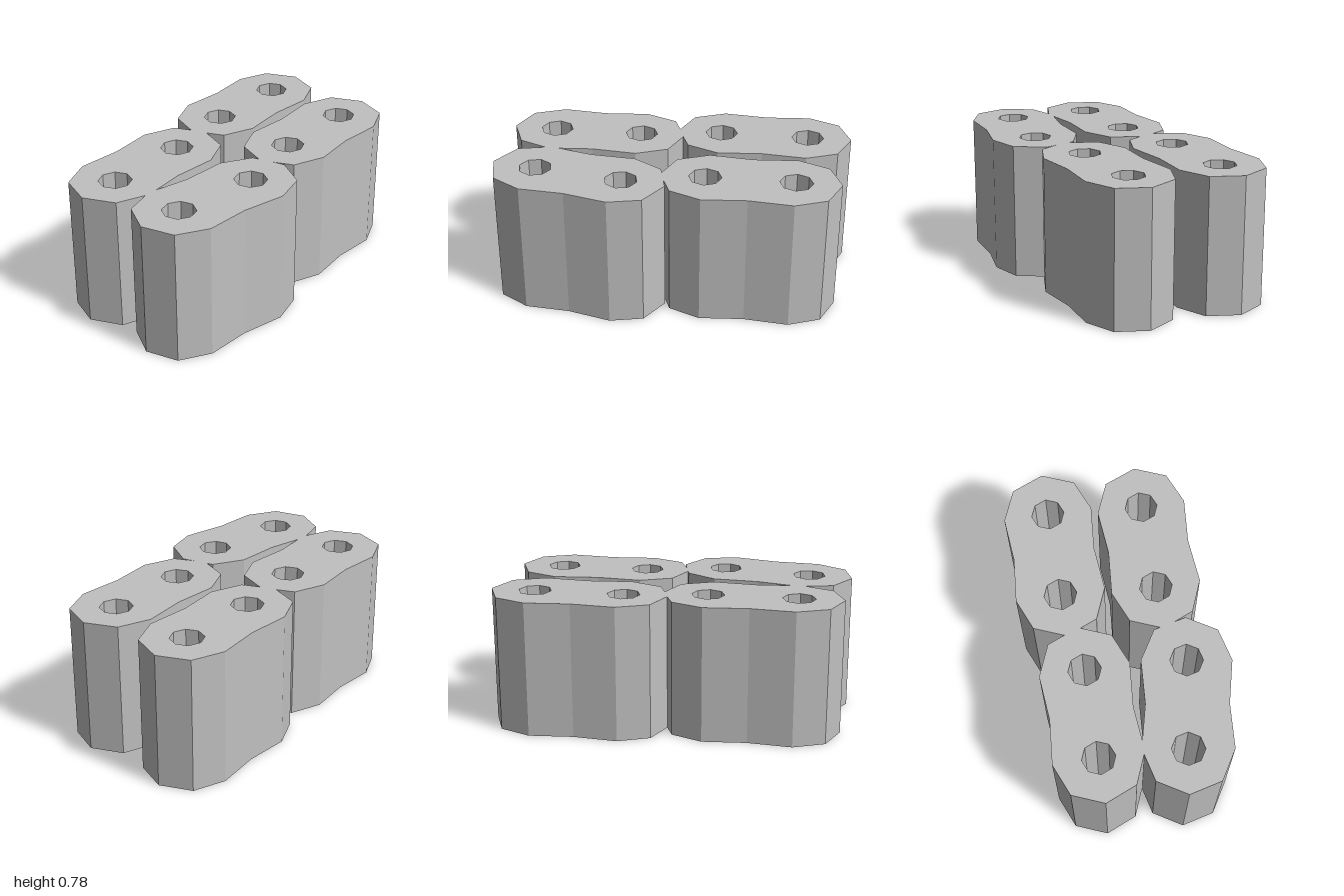
import * as THREE from 'three';

const HEIGHT = 0.78;
const LOBE = 0.2525; // distance from block centre to each hole
const RADIUS = 0.252;
const WAIST = 0.23;
const HOLE = 0.093;

// Points on an octagon whose corners lie on the axes
function arc(cx, radius, first, last) {
  const points = [];
  for (let i = first; i <= last; i++) {
    const a = (i * Math.PI) / 4;
    points.push(new THREE.Vector2(cx + radius * Math.cos(a), radius * Math.sin(a)));
  }
  return points;
}

// Two half-octagon lobes joined by a narrow waist, with two octagonal holes
function blockGeometry() {
  const shape = new THREE.Shape([
    ...arc(LOBE, RADIUS, -2, 2),
    new THREE.Vector2(0, WAIST),
    ...arc(-LOBE, RADIUS, 2, 6),
    new THREE.Vector2(0, -WAIST),
  ]);
  for (const side of [-1, 1]) {
    shape.holes.push(new THREE.Path(arc(side * LOBE, HOLE, 0, 7).reverse()));
  }
  const geometry = new THREE.ExtrudeGeometry(shape, { depth: HEIGHT, bevelEnabled: false });
  return geometry.rotateX(-Math.PI / 2);
}

export function createModel() {
  const model = new THREE.Group();
  model.name = 'pavingBlocks';
  const concrete = new THREE.MeshStandardMaterial({ color: 0xc0c0c0, flatShading: true });
  concrete.name = 'concreteGrey';
  const geometry = blockGeometry();

  // name, x, z, turn about y
  const blocks = [
    ['backRightBlock', -0.475, -0.25, 0],
    ['backLeftBlock', 0.495, -0.317, 0],
    ['frontRightBlock', -0.505, 0.274, -0.157],
    ['frontLeftBlock', 0.455, 0.22, 0],
  ];
  for (const [name, x, z, turn] of blocks) {
    const block = new THREE.Mesh(geometry, concrete);
    block.name = name;
    block.position.set(x, 0, z);
    block.rotation.y = turn;
    model.add(block);
  }
  return model;
}
